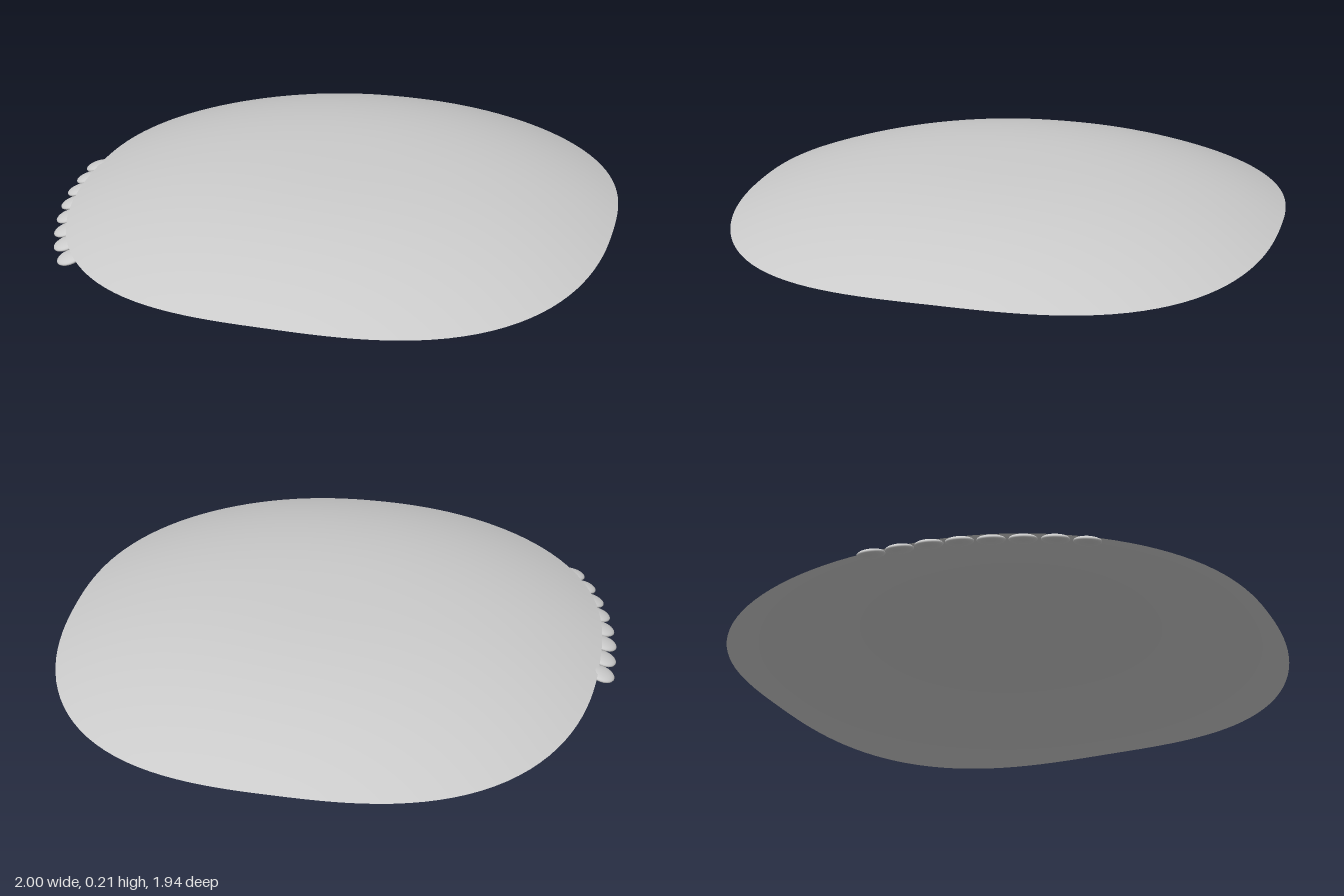
import * as THREE from 'three';
import { mergeVertices } from 'three/addons/utils/BufferGeometryUtils.js';

const TOP = 0.215;
const RADIUS = 0.97;
const SQUARENESS = 2.4; // exponent of the rounded-square outline

// Shallow dome: a disc reshaped to a rounded square whose corners droop
function shellGeometry() {
  const profile = [];
  for (let i = 0; i <= 32; i++) profile.push(new THREE.Vector2(1 - i / 32, 0));
  let geometry = new THREE.LatheGeometry(profile, 128);
  const pos = geometry.attributes.position;
  for (let i = 0; i < pos.count; i++) {
    const x = pos.getX(i), z = pos.getZ(i);
    const t = Math.hypot(x, z);
    const angle = Math.atan2(z, x);
    const c = Math.cos(angle), s = Math.sin(angle);
    const reach = RADIUS * (Math.abs(c) ** SQUARENESS + Math.abs(s) ** SQUARENESS) ** (-1 / SQUARENESS);
    const rim = 0.055 - 0.02 * Math.sin(2 * angle) ** 2;
    pos.setXYZ(i, 0.028 + t * reach * c, TOP - (TOP - rim) * t ** 2.5, t * reach * s);
  }
  geometry.deleteAttribute('uv');
  geometry.deleteAttribute('normal');
  geometry = mergeVertices(geometry, 1e-5);
  geometry.computeVertexNormals();
  return geometry;
}

export function createModel() {
  const model = new THREE.Group();
  const grey = new THREE.MeshStandardMaterial({ color: 0xcccccc });
  const thinGrey = new THREE.MeshStandardMaterial({ color: 0xcccccc, side: THREE.DoubleSide });

  const shell = new THREE.Mesh(shellGeometry(), thinGrey);
  shell.name = 'shell';
  model.add(shell);

  // Row of flattened lobes along one side of the rim
  const lobes = new THREE.Group();
  lobes.name = 'rimLobes';
  const lobeGeometry = new THREE.SphereGeometry(1, 24, 16);
  const path = new THREE.CatmullRomCurve3([
    new THREE.Vector3(-0.953, 0.04, -0.06),
    new THREE.Vector3(-0.945, 0.035, 0.15),
    new THREE.Vector3(-0.905, 0.027, 0.35),
    new THREE.Vector3(-0.84, 0.022, 0.53),
    new THREE.Vector3(-0.79, 0.0195, 0.62),
  ]);
  const count = 8;
  for (let i = 0; i < count; i++) {
    const f = i / (count - 1);
    const lobe = new THREE.Mesh(lobeGeometry, grey);
    lobe.name = 'lobe' + (i + 1);
    lobe.position.copy(path.getPointAt(f));
    lobe.scale.set(0.048, 0.014, 0.046);
    // Lean outward with the dome and turn to follow the rim
    lobe.rotation.set(0, 0.6 * f, 0.3, 'YXZ');
    lobes.add(lobe);
  }
  model.add(lobes);
  return model;
}
